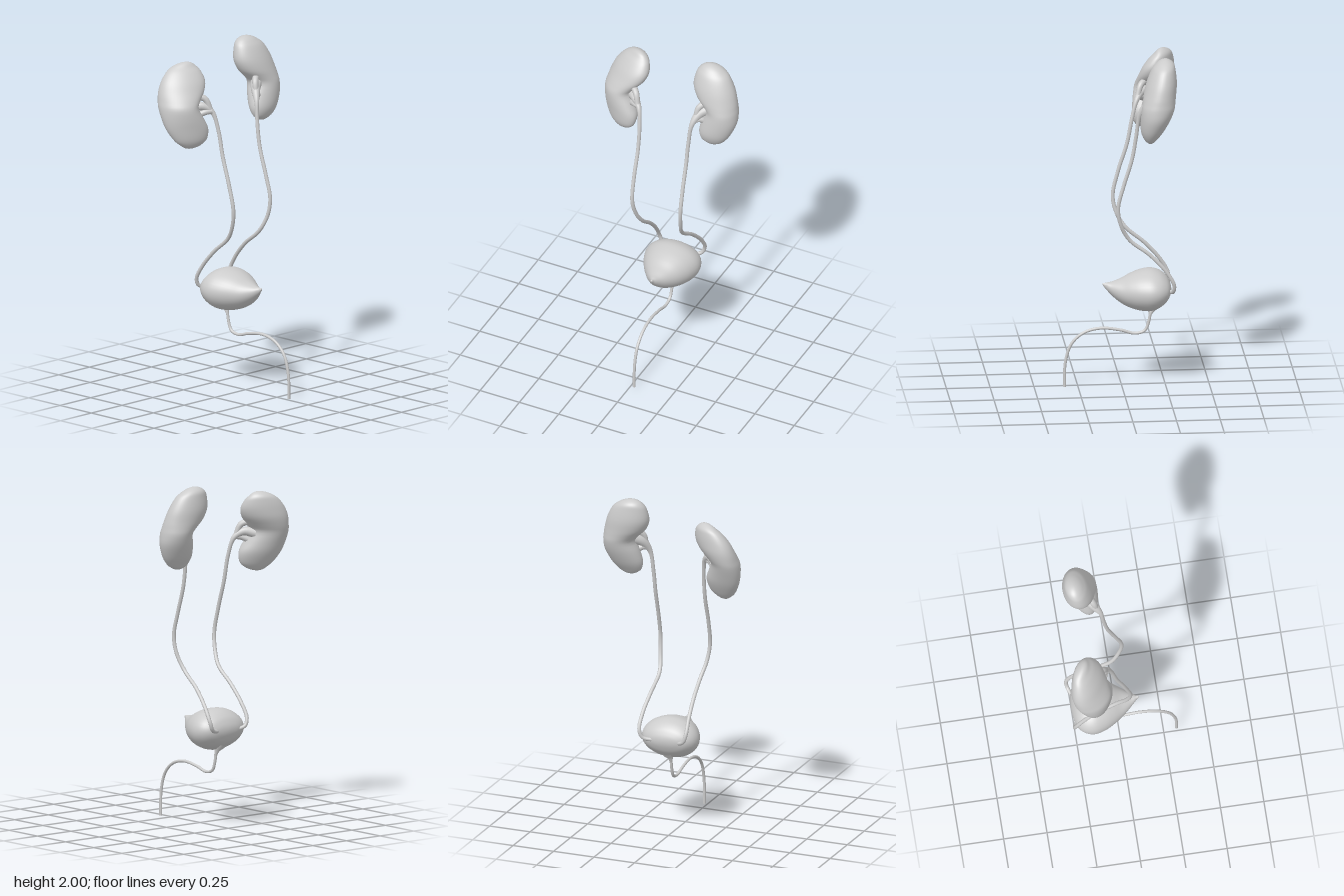
import * as THREE from 'three';

const material = new THREE.MeshStandardMaterial({ color: 0xcccccc, roughness: 0.6 });

function addMesh(group, name, geometry) {
  const mesh = new THREE.Mesh(geometry, material);
  mesh.name = name;
  group.add(mesh);
}

// Closed organ from elliptical sections, rows of [y, x0, x1, z0, z1] from top to bottom.
// Squared radii are interpolated so the ends close round; shear turns each section.
function loft(rows, shear = 0, rings = 56, sides = 40) {
  const centres = new THREE.CatmullRomCurve3(
    rows.map(([y, x0, x1, z0, z1]) => new THREE.Vector3((x0 + x1) / 2, y, (z0 + z1) / 2)), false, 'catmullrom');
  const squares = new THREE.CatmullRomCurve3(
    rows.map(([, x0, x1, z0, z1]) => new THREE.Vector3(((x1 - x0) / 2) ** 2, 0, ((z1 - z0) / 2) ** 2)), false, 'catmullrom');
  const positions = [], index = [];
  for (let i = 0; i <= rings; i++) {
    const t = (1 - Math.cos((Math.PI * i) / rings)) / 2;
    const c = centres.getPoint(t), s = squares.getPoint(t);
    const hx = Math.sqrt(Math.max(s.x, 0));
    const hz = Math.sqrt(Math.max(s.z - (shear * hx) ** 2, 0));
    for (let j = 0; j < sides; j++) {
      const a = (2 * Math.PI * j) / sides;
      const dx = hx * Math.cos(a);
      positions.push(c.x + dx, c.y, c.z + hz * Math.sin(a) + shear * dx);
      if (i === rings) continue;
      const u = i * sides + j, v = i * sides + ((j + 1) % sides);
      index.push(u, v, v + sides, u, v + sides, u + sides);
    }
  }
  const geometry = new THREE.BufferGeometry();
  geometry.setAttribute('position', new THREE.Float32BufferAttribute(positions, 3));
  geometry.setIndex(index);
  geometry.computeVertexNormals();
  return geometry;
}

// Tube along a smooth path, its radius blending from r0 to r1 over the first part of its length.
function duct(points, r0, r1 = r0, blend = 1, segments = 90, sides = 14) {
  const path = new THREE.CatmullRomCurve3(points.map((p) => new THREE.Vector3(...p)));
  const geometry = new THREE.TubeGeometry(path, segments, 1, sides);
  const pos = geometry.attributes.position, v = new THREE.Vector3();
  for (let i = 0; i <= segments; i++) {
    const t = i / segments, c = path.getPointAt(t);
    const r = THREE.MathUtils.lerp(r0, r1, THREE.MathUtils.smoothstep(t, 0, blend));
    for (let j = 0; j <= sides; j++) {
      const k = i * (sides + 1) + j;
      v.fromBufferAttribute(pos, k).sub(c).multiplyScalar(r).add(c);
      pos.setXYZ(k, v.x, v.y, v.z);
    }
  }
  return geometry;
}

export function createModel() {
  const model = new THREE.Group();
  model.name = 'urinarySystem';

  // Kidneys: the left one sits higher, both lean back at the top
  addMesh(model, 'leftKidney', loft([
    [2.0, 0.235, 0.235, -0.233, -0.233],
    [1.974, 0.17, 0.315, -0.28, -0.18],
    [1.94, 0.15, 0.355, -0.288, -0.153],
    [1.87, 0.14, 0.392, -0.294, -0.122],
    [1.81, 0.165, 0.41, -0.288, -0.105],
    [1.77, 0.205, 0.418, -0.282, -0.097],
    [1.73, 0.235, 0.424, -0.275, -0.09],
    [1.67, 0.217, 0.422, -0.255, -0.085],
    [1.6, 0.202, 0.395, -0.22, -0.085],
    [1.55, 0.212, 0.36, -0.185, -0.1],
    [1.528, 0.235, 0.33, -0.168, -0.115],
    [1.513, 0.28, 0.28, -0.14, -0.14],
  ]));
  addMesh(model, 'rightKidney', loft([
    [1.925, -0.23, -0.23, -0.25, -0.25],
    [1.9, -0.305, -0.175, -0.305, -0.21],
    [1.87, -0.345, -0.157, -0.32, -0.18],
    [1.82, -0.385, -0.15, -0.33, -0.145],
    [1.77, -0.408, -0.17, -0.333, -0.125],
    [1.72, -0.422, -0.215, -0.325, -0.11],
    [1.68, -0.43, -0.24, -0.312, -0.1],
    [1.62, -0.428, -0.215, -0.285, -0.09],
    [1.56, -0.415, -0.19, -0.255, -0.085],
    [1.5, -0.385, -0.2, -0.215, -0.09],
    [1.465, -0.35, -0.235, -0.185, -0.11],
    [1.445, -0.3, -0.3, -0.15, -0.15],
  ], 0.35));

  // Ureters, widening where they leave the kidneys
  addMesh(model, 'leftUreter', duct([
    [0.26, 1.74, -0.165], [0.215, 1.715, -0.13], [0.182, 1.65, -0.09], [0.168, 1.52, -0.07],
    [0.165, 1.39, -0.048], [0.166, 1.23, 0], [0.168, 1.1, 0.032], [0.162, 1, 0.018],
    [0.145, 0.9, -0.035], [0.152, 0.81, -0.15], [0.164, 0.715, -0.24], [0.165, 0.63, -0.288],
    [0.145, 0.585, -0.285], [0.08, 0.57, -0.26],
  ], 0.034, 0.011, 0.14));
  addMesh(model, 'rightUreter', duct([
    [-0.26, 1.67, -0.185], [-0.21, 1.68, -0.14], [-0.165, 1.645, -0.105], [-0.145, 1.54, -0.075],
    [-0.14, 1.39, -0.045], [-0.14, 1.23, 0.005], [-0.136, 1.08, 0.037], [-0.124, 0.98, 0.015],
    [-0.108, 0.9, -0.035], [-0.11, 0.81, -0.14], [-0.115, 0.715, -0.225], [-0.117, 0.63, -0.275],
    [-0.1, 0.585, -0.278], [-0.05, 0.565, -0.255],
  ], 0.03, 0.011, 0.14));

  // Short branches from the head of each ureter into the kidney
  const branches = [
    ['leftUpperBranch', [[0.197, 1.69, -0.11], [0.207, 1.75, -0.125], [0.25, 1.79, -0.16]]],
    ['leftLowerBranch', [[0.19, 1.67, -0.1], [0.215, 1.675, -0.12], [0.26, 1.65, -0.15]]],
    ['rightUpperBranch', [[-0.175, 1.66, -0.11], [-0.195, 1.72, -0.13], [-0.25, 1.745, -0.18]]],
    ['rightLowerBranch', [[-0.17, 1.65, -0.105], [-0.205, 1.645, -0.125], [-0.26, 1.615, -0.17]]],
  ];
  for (const [name, points] of branches) addMesh(model, name, duct(points, 0.016, 0.02, 1, 20));

  // Bladder: lofted along its length, then laid down with the tip forward
  addMesh(model, 'bladder', loft([
    [0.11, 0.02, 0.02, -0.605, -0.605],
    [0.085, 0, 0.04, -0.612, -0.568],
    [0.05, -0.03, 0.07, -0.618, -0.53],
    [0, -0.07, 0.11, -0.635, -0.49],
    [-0.05, -0.105, 0.145, -0.66, -0.465],
    [-0.1, -0.132, 0.171, -0.678, -0.45],
    [-0.16, -0.15, 0.188, -0.688, -0.445],
    [-0.21, -0.143, 0.181, -0.677, -0.463],
    [-0.25, -0.115, 0.153, -0.65, -0.495],
    [-0.272, -0.07, 0.11, -0.618, -0.53],
    [-0.283, 0.02, 0.02, -0.575, -0.575],
  ]).rotateX(Math.PI / 2));

  // Bladder neck and urethra
  addMesh(model, 'bladderNeck', duct(
    [[0.02, 0.5, -0.21], [0.02, 0.455, -0.18], [0.02, 0.415, -0.163]], 0.04, 0.009, 1, 24, 20));
  addMesh(model, 'urethra', duct([
    [0.02, 0.46, -0.165], [0.02, 0.386, -0.158], [0.02, 0.322, -0.132], [0.02, 0.307, -0.075],
    [0.02, 0.328, 0.005], [0.02, 0.342, 0.12], [0.02, 0.317, 0.217], [0.02, 0.254, 0.286],
    [0.02, 0.148, 0.321], [0.02, 0, 0.326],
  ], 0.0085));
  const tip = new THREE.CircleGeometry(0.0085, 14).rotateX(Math.PI / 2).translate(0.02, 0, 0.326);
  addMesh(model, 'urethraEnd', tip);

  return model;
}
